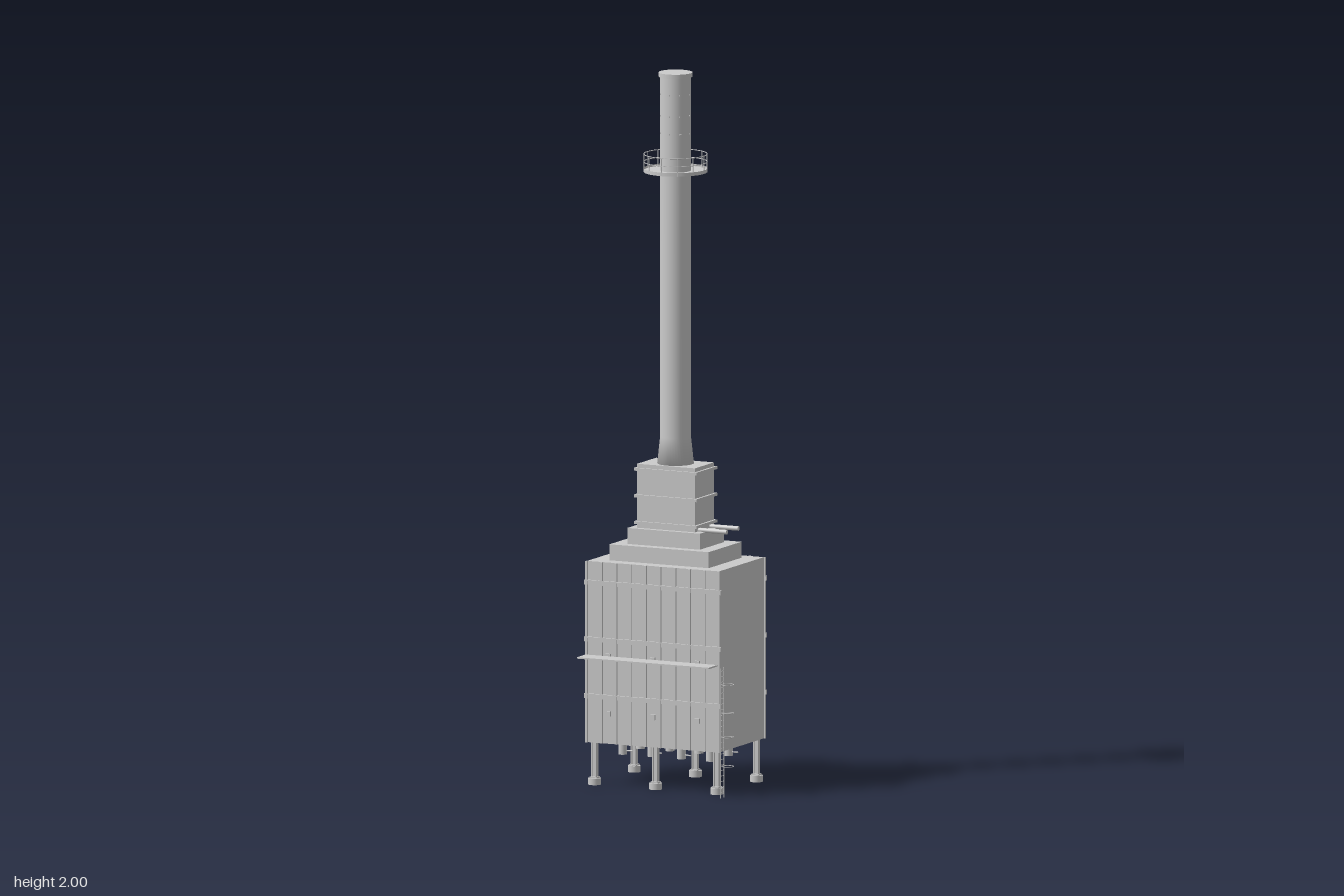
import * as THREE from 'three';

const CX = -0.03, CZ = -0.031; // shared vertical axis of furnace and stack
const mat = new THREE.MeshStandardMaterial({ color: 0xcccccc, side: THREE.DoubleSide });

function add(parent, geo, name, x, y, z) {
  const m = new THREE.Mesh(geo, mat);
  m.name = name;
  m.position.set(x, y, z);
  parent.add(m);
  return m;
}
const box = (p, name, w, h, d, x, y, z) => add(p, new THREE.BoxGeometry(w, h, d), name, x, y, z);
const cyl = (p, name, r, h, x, y, z, seg = 16) => add(p, new THREE.CylinderGeometry(r, r, h, seg), name, x, y, z);
// horizontal ring
function ring(p, name, r, tube, x, y, z) {
  const m = add(p, new THREE.TorusGeometry(r, tube, 6, 40), name, x, y, z);
  m.rotation.x = Math.PI / 2;
  return m;
}
function group(parent, name, x = 0, y = 0, z = 0) {
  const g = new THREE.Group();
  g.name = name;
  g.position.set(x, y, z);
  parent.add(g);
  return g;
}

export function createModel() {
  const model = new THREE.Group();
  model.name = 'furnace';

  // Radiant box with ribbed front and back walls
  const body = group(model, 'firebox', CX, 0, CZ);
  box(body, 'casing', 0.41, 0.51, 0.278, 0, 0.375, 0);
  for (const s of [-1, 1]) {
    for (let i = 0; i < 10; i++) {
      box(body, 'wallRib', 0.007, 0.51, 0.006, (i - 4.5) * 0.0457, 0.375, s * 0.1415);
    }
    for (const y of [0.25, 0.41, 0.57]) {
      box(body, 'wallBeam', 0.424, 0.012, 0.005, 0, y, s * 0.141);
      box(body, 'beamFlange', 0.424, 0.003, 0.006, 0, y + 0.006, s * 0.142);
    }
  }

  // Peep doors on the front wall
  for (const x of [-0.138, 0, 0.138]) {
    for (const y of [0.205, 0.366]) box(body, 'peepDoor', 0.015, 0.015, 0.007, x, y, 0.1425);
  }

  // Six legs with round footings
  for (const x of [-0.19, 0, 0.19]) {
    for (const z of [-0.123, 0.123]) {
      box(body, 'legWeb', 0.014, 0.1, 0.004, x, 0.07, z);
      for (const s of [-1, 1]) box(body, 'legFlange', 0.003, 0.1, 0.014, x + s * 0.0065, 0.07, z);
      cyl(body, 'footing', 0.018, 0.018, x, 0.009, z);
      box(body, 'basePlate', 0.022, 0.004, 0.022, x, 0.02, z);
    }
  }

  // Floor burners with fuel stubs
  for (let i = 0; i < 4; i++) {
    for (const z of [-0.055, 0.055]) {
      const x = (i - 1.5) * 0.091;
      cyl(body, 'burner', 0.0125, 0.042, x, 0.1, z);
      cyl(body, 'fuelStub', 0.002, 0.022, x + 0.019, 0.09, z, 8).rotation.z = Math.PI / 2;
    }
  }

  // Stepped roof and convection section
  box(body, 'lowerRoofStep', 0.308, 0.045, 0.204, 0, 0.6525, 0);
  box(body, 'upperRoofStep', 0.226, 0.045, 0.148, 0, 0.6975, 0);
  box(body, 'convectionBox', 0.18, 0.18, 0.118, 0, 0.81, 0);
  for (const y of [0.735, 0.81, 0.885]) {
    box(body, 'convectionFlange', 0.194, 0.008, 0.13, 0, y, 0);
  }

  // Process pipes leaving the left side
  for (const z of [-0.036, 0.036]) {
    cyl(body, 'processPipe', 0.0065, 0.1, 0.128, 0.7235, z).rotation.z = Math.PI / 2;
  }

  // Stack with flared base and rim
  const stack = group(model, 'stack', CX, 0, CZ);
  const profile = [[0, 0.9], [0.051, 0.9], [0.043, 0.975], [0.043, 1.988]];
  add(stack, new THREE.LatheGeometry(profile.map(p => new THREE.Vector2(...p)), 40), 'shaft', 0, 0, 0);
  cyl(stack, 'rim', 0.047, 0.012, 0, 1.994, 0, 40);
  for (const y of [1.83, 1.88, 1.94]) {
    for (let i = 0; i < 8; i++) {
      const a = (i / 8) * Math.PI * 2;
      box(stack, 'stackPort', 0.005, 0.004, 0.004, Math.cos(a) * 0.0425, y, Math.sin(a) * 0.0425).rotation.y = -a;
    }
  }

  // Round gallery with railing
  const gallery = group(stack, 'gallery', 0, 1.72, 0);
  cyl(gallery, 'galleryFloor', 0.088, 0.004, 0, 0.002, 0, 40);
  add(gallery, new THREE.CylinderGeometry(0.089, 0.089, 0.01, 40, 1, true), 'toeBoard', 0, 0.005, 0);
  ring(gallery, 'midRail', 0.088, 0.0012, 0, 0.028, 0);
  ring(gallery, 'topRail', 0.088, 0.0012, 0, 0.05, 0);
  for (let i = 0; i < 12; i++) {
    const a = (i / 12) * Math.PI * 2;
    cyl(gallery, 'railPost', 0.0012, 0.05, Math.cos(a) * 0.088, 0.025, Math.sin(a) * 0.088, 6);
  }

  // Front walkway
  box(model, 'walkway', 0.41, 0.004, 0.054, CX, 0.366, 0.145);

  // Caged ladder beside the walkway
  const ladder = group(model, 'ladder', 0.203, 0, 0.145);
  for (const s of [-1, 1]) box(ladder, 'ladderRail', 0.002, 0.366, 0.002, 0, 0.183, s * 0.011);
  for (let i = 1; i <= 23; i++) box(ladder, 'rung', 0.0014, 0.0014, 0.022, 0, i * 0.0155, 0);
  for (const y of [0.09, 0.172, 0.24, 0.32]) ring(ladder, 'cageHoop', 0.0168, 0.0009, 0.0175, y, 0);

  return model;
}
